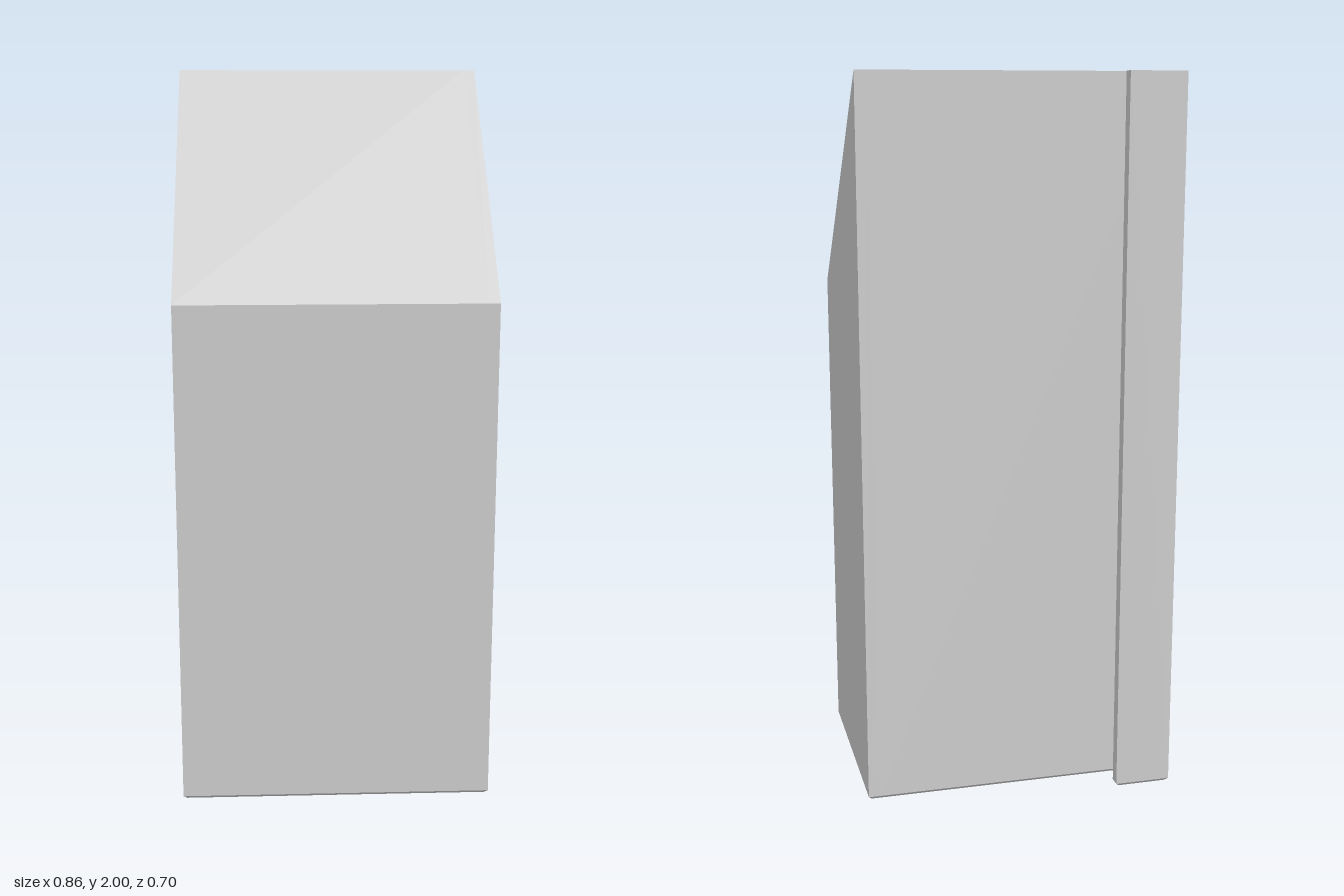
import * as THREE from 'three';

const T = 0.032;          // wall thickness
const C = 0.01;           // bottom chamfer
const X = 0.43;           // half width
const FRONT = 0.348, BACK = -0.254, HOOK = -0.348;
const H = 2, FRONT_H = 1.4;

const polygon = (pts) => pts.map(([a, b]) => new THREE.Vector2(a, b));

// Extrudes a (z, y) profile along x from x0 to x1
function alongX(shape, x0, x1) {
  const g = new THREE.ExtrudeGeometry(shape, { depth: x1 - x0, bevelEnabled: false });
  g.rotateY(-Math.PI / 2);              // (a, b, d) -> (-d, b, a)
  return g.translate(x1, 0, 0);
}

// Extrudes an (x, z) outline upwards from y0 to y1
function upward(pts, y0, y1) {
  const shape = new THREE.Shape(polygon(pts.map(([x, z]) => [x, -z])));
  const g = new THREE.ExtrudeGeometry(shape, { depth: y1 - y0, bevelEnabled: false });
  g.rotateX(-Math.PI / 2);              // (a, b, d) -> (a, d, -b)
  return g.translate(0, y0, 0);
}

export function createModel() {
  const group = new THREE.Group();
  const grey = new THREE.MeshStandardMaterial({ color: 0xcccccc });
  grey.name = 'grey';
  const add = (name, geometry) => {
    const mesh = new THREE.Mesh(geometry, grey);
    mesh.name = name;
    group.add(mesh);
  };

  // Hollow shell with a 45 degree roof, open on the -x side
  const outer = polygon([[FRONT, C], [FRONT, FRONT_H], [BACK, H], [BACK, C]]);
  const inF = FRONT - T, inB = BACK + T;
  const roofAt = (z) => FRONT_H + (H - FRONT_H) * (FRONT - z) / (FRONT - BACK) - T * Math.SQRT2;
  const shell = new THREE.Shape(outer);
  shell.holes.push(new THREE.Path(
    polygon([[inF, T], [inB, T], [inB, roofAt(inB)], [inF, roofAt(inF)]])));
  add('shell', alongX(shell, -X, X - T));

  // Closed end on the +x side
  add('endWall', alongX(new THREE.Shape(outer), X - T, X));

  // L-shaped hanging hook running up the back edge
  add('hook', upward([
    [-X, BACK], [-X + T, BACK], [-X + T, HOOK + T],
    [-0.272, HOOK + T], [-0.272, HOOK], [-X, HOOK]], C, H));

  // Chamfered foot under body and hook: x, z and inward direction of each corner
  const foot = [
    [-X, FRONT, 1, -1], [X, FRONT, -1, -1], [X, BACK, -1, 1],
    [-X + T, BACK, -1, 1], [-X + T, HOOK + T, -1, -1],
    [-0.272, HOOK + T, -1, -1], [-0.272, HOOK, -1, 1], [-X, HOOK, 1, 1]];
  const footGeometry = upward(foot, 0, C);
  const pos = footGeometry.attributes.position;
  for (let i = 0; i < pos.count; i++) {
    if (pos.getY(i) > C / 2) continue;
    const x = pos.getX(i), z = pos.getZ(i);
    const corner = foot.find(([a, b]) => Math.hypot(a - x, b - z) < 1e-4);
    pos.setXYZ(i, x + corner[2] * C, 0, z + corner[3] * C);
  }
  footGeometry.computeVertexNormals();
  add('chamferedFoot', footGeometry);

  return group;
}
